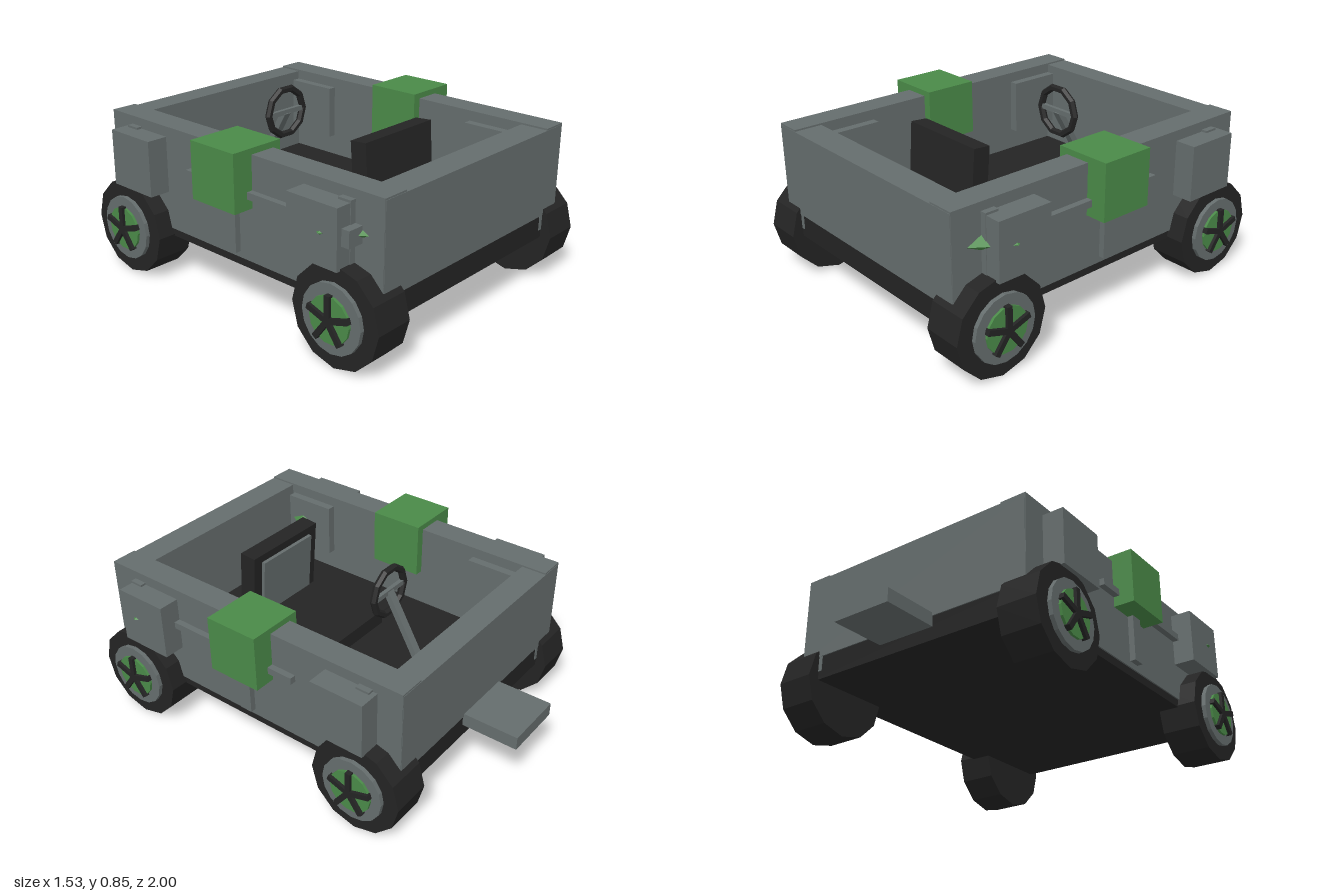
import * as THREE from 'three';

const mat = (name, color) => {
  const m = new THREE.MeshStandardMaterial({ color, flatShading: true });
  m.name = name;
  return m;
};

export function createModel() {
  const grey = mat('body grey', 0x656d6d);
  const green = mat('accent green', 0x4a8a48);
  const dark = mat('rubber black', 0x242424);
  const model = new THREE.Group();

  const add = (name, geo, material, x, y, z, parent = model) => {
    const m = new THREE.Mesh(geo, material);
    m.name = name;
    m.position.set(x, y, z);
    parent.add(m);
    return m;
  };
  // Box given by its extents along each axis
  const block = (name, material, [x0, x1], [y0, y1], [z0, z1]) =>
    add(name, new THREE.BoxGeometry(Math.abs(x1 - x0), y1 - y0, z1 - z0), material,
      (x0 + x1) / 2, (y0 + y1) / 2, (z0 + z1) / 2);
  // Cylinder lying along x
  const disc = (name, r, depth, sides, material, x, parent) => {
    const g = new THREE.CylinderGeometry(r, r, depth, sides);
    g.rotateZ(Math.PI / 2);
    return add(name, g, material, x, 0, 0, parent);
  };

  // Tub
  block('floor', dark, [-0.63, 0.63], [0.222, 0.335], [-0.725, 0.945]);
  block('frontWall', grey, [-0.634, 0.634], [0.335, 0.752], [0.812, 0.95]);
  block('rearWall', grey, [-0.634, 0.634], [0.335, 0.752], [-0.73, -0.605]);
  block('hitch', grey, [-0.15, 0.15], [0.285, 0.35], [-1, -0.7]);

  for (const s of [-1, 1]) {
    // Side wall with trim
    block('sideWall', grey, [s * 0.51, s * 0.637], [0.262, 0.76], [-0.728, 0.948]);
    block('sideRail', grey, [s * 0.6, s * 0.667], [0.567, 0.6], [-0.17, 0.55]);
    block('doorPost', grey, [s * 0.6, s * 0.665], [0.292, 0.54], [0.08, 0.145]);
    // Blocks set through the side walls
    block('sideBox', green, [s * 0.468, s * 0.74], [0.518, 0.788], [-0.04, 0.228]);
    for (const [z0, z1, p0, p1] of [[0.53, 0.8, 0.737, 0.803], [-0.605, -0.337, -0.582, -0.515]]) {
      block('fender', grey, [s * 0.468, s * 0.74], [0.442, 0.71], [z0, z1]);
      block('fenderPost', grey, [s * 0.6, s * 0.665], [0.4, 0.72], [p0, p1]);
    }
    // Pointed lamp
    const lamp = add('lamp', new THREE.OctahedronGeometry(1), green, s * 0.587, 0.585, 0.71);
    lamp.scale.set(0.165, 0.11, 0.235);

    // Wheels
    for (const z of [0.77, -0.55]) {
      const wheel = new THREE.Group();
      wheel.name = 'wheel';
      wheel.position.set(0, 0.23, z);
      model.add(wheel);
      disc('tyre', 0.23, 0.19, 12, dark, s * 0.625, wheel);
      disc('rim', 0.156, 0.04, 16, grey, s * 0.72, wheel);
      disc('hubDisc', 0.106, 0.03, 14, green, s * 0.737, wheel);
      for (let i = 0; i < 5; i++) {
        const g = new THREE.BoxGeometry(0.024, 0.112, 0.026);
        g.translate(0, 0.056, 0);
        add('spoke', g, dark, s * 0.755, 0, 0, wheel).rotation.x = i * Math.PI * 0.4;
      }
    }
  }
  // Side fitting on one front fender
  block('fenderFitting', grey, [-0.715, -0.6], [0.545, 0.62], [0.76, 0.84]);

  // Seat, with the backrest towards the front wall
  block('seatCushion', dark, [-0.23, 0.23], [0.33, 0.41], [0, 0.46]);
  const back = new THREE.Group();
  back.name = 'seatBack';
  back.position.set(0, 0.56, 0.48);
  back.rotation.x = -0.08;
  model.add(back);
  add('backrest', new THREE.BoxGeometry(0.46, 0.42, 0.085), dark, 0, 0, 0, back);
  add('backPanel', new THREE.BoxGeometry(0.35, 0.3, 0.03), grey, 0, 0.02, -0.045, back);

  // Steering wheel, crossbar and column
  add('steeringWheel', new THREE.TorusGeometry(0.117, 0.018, 6, 10), dark, 0, 0.717, -0.2);
  add('steeringBar', new THREE.BoxGeometry(0.22, 0.024, 0.02), grey, 0, 0.717, -0.2);
  const column = add('steeringColumn', new THREE.BoxGeometry(0.04, 0.44, 0.03), grey, 0, 0.525, -0.31);
  column.rotation.x = Math.atan2(0.22, 0.38);

  return model;
}
